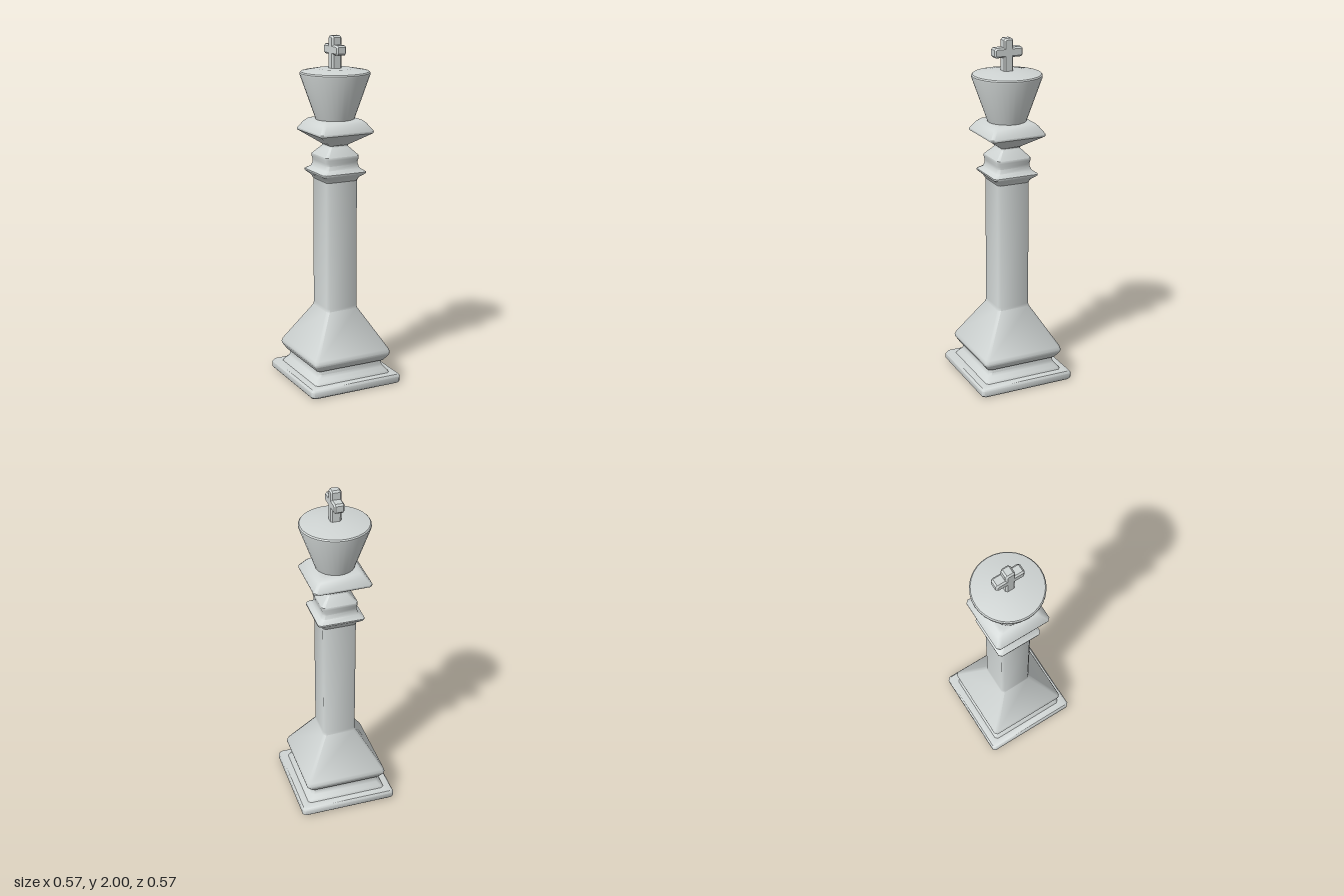
import * as THREE from 'three';
import { toCreasedNormals } from 'three/addons/utils/BufferGeometryUtils.js';

const CREASE = 0.85;

// Square column with chamfered corners, lofted through [halfWidth, y] rings
function squareLoft(profile) {
  const positions = [];
  const index = [];
  for (const [h, y] of profile) {
    const k = h - Math.min(0.015, h * 0.15);
    const ring = [[-k, h], [k, h], [h, k], [h, -k], [k, -h], [-k, -h], [-h, -k], [-h, k]];
    for (const [x, z] of ring) positions.push(x, y, z);
  }
  for (let j = 0; j < profile.length - 1; j++) {
    for (let i = 0; i < 8; i++) {
      const a = j * 8 + i;
      const b = j * 8 + ((i + 1) % 8);
      index.push(a, b, b + 8, a, b + 8, a + 8);
    }
  }
  // Flat end caps
  const top = (profile.length - 1) * 8;
  for (let i = 1; i < 7; i++) {
    index.push(0, i + 1, i);
    index.push(top, top + i, top + i + 1);
  }
  const geometry = new THREE.BufferGeometry();
  geometry.setAttribute('position', new THREE.Float32BufferAttribute(positions, 3));
  geometry.setIndex(index);
  return toCreasedNormals(geometry, CREASE);
}

export function createModel() {
  const model = new THREE.Group();
  const stone = new THREE.MeshStandardMaterial({ color: 0xd0d5d4 });
  stone.name = 'pale grey';

  const add = (name, geometry) => {
    const mesh = new THREE.Mesh(geometry, stone);
    mesh.name = name;
    model.add(mesh);
    return mesh;
  };

  // Stepped plinth
  add('base', squareLoft([
    [0.277, 0], [0.286, 0.01], [0.286, 0.04], [0.277, 0.053], [0.238, 0.055],
    [0.23, 0.07], [0.212, 0.09], [0.205, 0.105], [0.203, 0.128],
  ]));

  // Flared skirt rising into the straight shaft
  add('shaft', squareLoft([
    [0.205, 0.128], [0.218, 0.132], [0.241, 0.168], [0.242, 0.18], [0.236, 0.2],
    [0.1, 0.432], [0.097, 0.45], [0.097, 1.19],
  ]));

  // Moulded collar
  add('collar', squareLoft([
    [0.097, 1.19], [0.107, 1.21], [0.134, 1.233], [0.135, 1.243], [0.108, 1.262],
    [0.1, 1.285], [0.1, 1.3], [0.104, 1.32], [0.104, 1.334], [0.058, 1.383], [0.056, 1.396],
  ]));

  // Wide plate below the crown
  add('neckPlate', squareLoft([
    [0.056, 1.39], [0.07, 1.4], [0.165, 1.465], [0.166, 1.476],
    [0.135, 1.52], [0.118, 1.535], [0.1, 1.537],
  ]));

  // Round crown with a shallow domed lid
  const crownProfile = [
    [0, 1.53], [0.107, 1.53], [0.197, 1.785], [0.197, 1.795], [0.191, 1.802], [0.1, 1.819], [0, 1.82],
  ].map(([r, y]) => new THREE.Vector2(r, y));
  add('crown', toCreasedNormals(new THREE.LatheGeometry(crownProfile, 32), 0.5));

  // Bevelled cross, facing sideways
  const w = 0.028; // half width of a bar
  const t = 0.085; // arm reach
  const c = 0.01; // corner chamfer
  const low = 1.895;
  const high = 1.95;
  const outline = [
    [-w, 1.8], [w, 1.8], [w, low], [t - c, low], [t, low + c], [t, high - c], [t - c, high],
    [w, high], [w, 2 - c], [w - c, 2], [c - w, 2], [-w, 2 - c], [-w, high],
    [c - t, high], [-t, high - c], [-t, low + c], [c - t, low], [-w, low],
  ].map(([x, y]) => new THREE.Vector2(x, y));
  const bevel = 0.009;
  const crossGeometry = new THREE.ExtrudeGeometry(new THREE.Shape(outline), {
    depth: 0.06 - 2 * bevel,
    bevelThickness: bevel,
    bevelSize: bevel,
    bevelOffset: -bevel,
    bevelSegments: 1,
  });
  crossGeometry.translate(0, 0, bevel - 0.03).rotateY(Math.PI / 2);
  add('cross', toCreasedNormals(crossGeometry, 0.5));

  return model;
}
